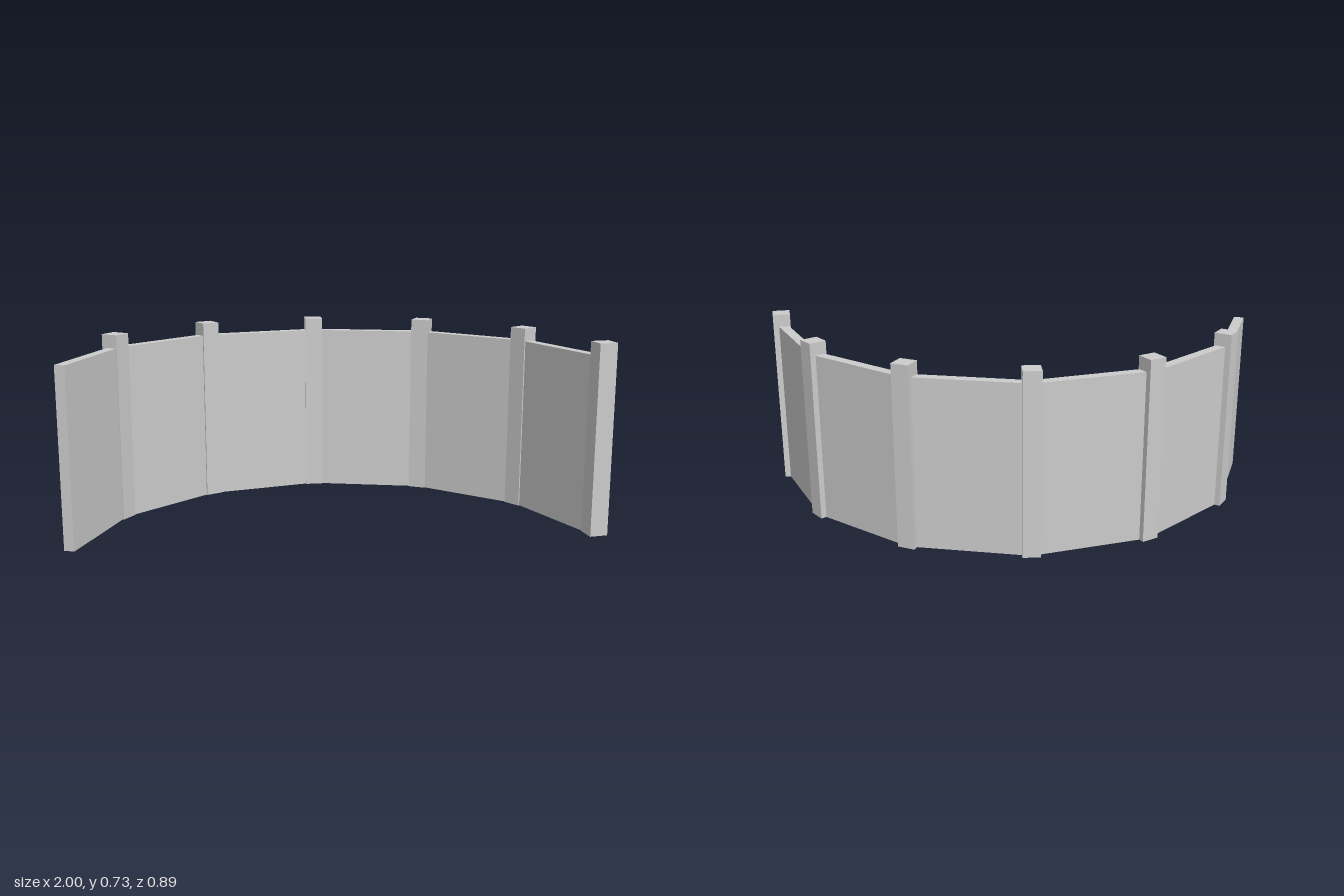
import * as THREE from 'three';

const RADIUS = 0.984;                    // circle through the post centres
const CENTRE = { x: -0.011, z: 0.573 };
const STEP = THREE.MathUtils.degToRad(27.2);
const FIRST = THREE.MathUtils.degToRad(-56); // left-most post, measured from -z
const COUNT = 6;

export function createModel() {
  const fence = new THREE.Group();
  fence.name = 'curvedFence';
  const material = new THREE.MeshStandardMaterial({ color: 0xcccccc, flatShading: true });

  // Stands a box on the ground, tangent to the arc
  function place(name, angle, radius, width, height, depth) {
    const mesh = new THREE.Mesh(new THREE.BoxGeometry(width, height, depth), material);
    mesh.name = name;
    mesh.position.set(
      CENTRE.x + radius * Math.sin(angle),
      height / 2,
      CENTRE.z - radius * Math.cos(angle)
    );
    mesh.rotation.y = -angle;
    fence.add(mesh);
  }

  // Each post carries the panel that precedes it; the first panel has a free end
  for (let i = 0; i < COUNT; i++) {
    const angle = FIRST + i * STEP;
    place(`post${i + 1}`, angle, RADIUS, 0.07, 0.725, 0.07);
    place(`panel${i + 1}`, angle - STEP / 2, RADIUS * Math.cos(STEP / 2), 0.405, 0.674, 0.04);
  }
  return fence;
}
